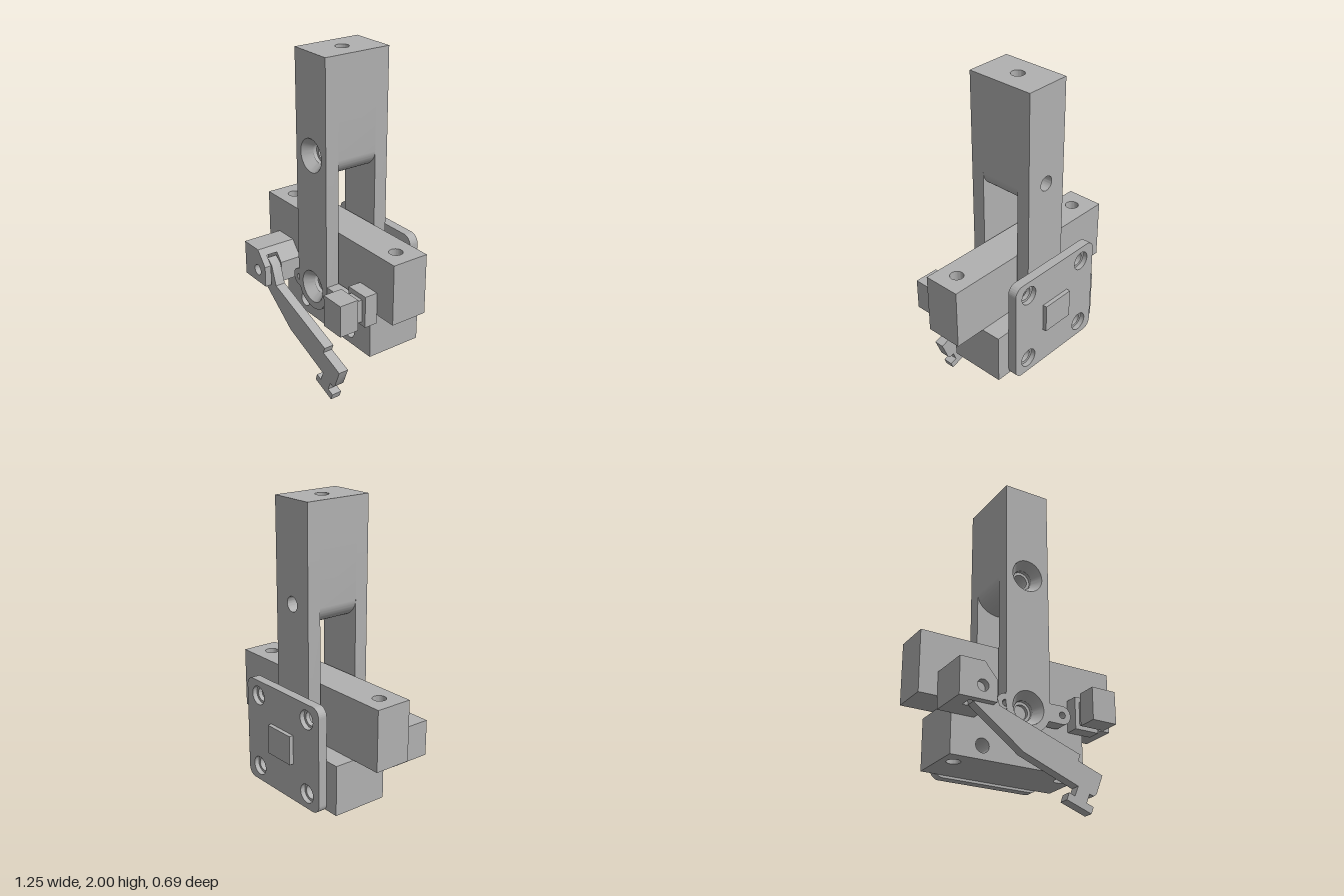
import * as THREE from 'three';
import { toCreasedNormals } from 'three/addons/utils/BufferGeometryUtils.js';

export function createModel() {
  const model = new THREE.Group();
  const grey = new THREE.MeshStandardMaterial({ color: 0xb0b0b0, side: THREE.DoubleSide });

  const add = (name, geometry) => {
    const mesh = new THREE.Mesh(geometry, grey);
    mesh.name = name;
    model.add(mesh);
    return mesh;
  };
  const box = (name, x0, x1, y0, y1, z0, z1) =>
    add(name, new THREE.BoxGeometry(x1 - x0, y1 - y0, z1 - z0)
      .translate((x0 + x1) / 2, (y0 + y1) / 2, (z0 + z1) / 2));
  const poly = (pts) => new THREE.Shape(pts.map(([x, y]) => new THREE.Vector2(x, y)));
  const rect = (x0, x1, y0, y1) => poly([[x0, y0], [x1, y0], [x1, y1], [x0, y1]]);
  const drill = (shape, ...holes) => {
    for (const [x, y, r] of holes) shape.holes.push(new THREE.Path().absarc(x, y, r, 0, Math.PI * 2, true));
    return shape;
  };
  const solid = (shape, depth) => new THREE.ExtrudeGeometry(shape, { depth, bevelEnabled: false, curveSegments: 28 });
  // slab running front to back
  const slabZ = (name, shape, z0, z1) =>
    add(name, toCreasedNormals(solid(shape, z1 - z0).translate(0, 0, z0), 0.6));
  // slab running upwards; the shape's second axis is -z
  const slabY = (name, shape, y0, y1) =>
    add(name, toCreasedNormals(solid(shape, y1 - y0).rotateX(-Math.PI / 2).translate(0, y0, 0), 0.6));

  // Upright column: forked below, with a rounded web between the arms
  const pinY = 0.58, boltY = 1.41, W = 0.143;
  const tongue = (yc, ry) => {
    const s = new THREE.Shape();
    s.moveTo(-W, 1.75);
    s.lineTo(-W, yc);
    s.absellipse(0, yc, W, ry, Math.PI, Math.PI * 2, false);
    s.lineTo(W, 1.75);
    s.closePath();
    return s;
  };
  slabY('columnTop', drill(rect(-W, W, -0.193, 0.235), [0, 0.022, 0.04]), 1.75, 2);
  slabZ('columnWeb', drill(tongue(boltY, 0.12), [0, boltY, 0.045]), -0.15, 0.108);
  slabZ('columnBackArm', drill(tongue(pinY, 0.14), [0, boltY, 0.045]), -0.235, -0.15);
  slabZ('columnFrontArm', drill(tongue(pinY, 0.14), [0, boltY, 0.1], [0, pinY, 0.1]), 0.108, 0.193);

  // Countersunk seats in the front arm
  const seat = [[0.1, 0.193], [0.06, 0.135], [0.06, 0.112], [0.043, 0.112], [0.043, 0.09]];
  for (const y of [boltY, pinY]) {
    const g = new THREE.LatheGeometry(seat.map(([r, h]) => new THREE.Vector2(r, h)), 40);
    add('countersink', toCreasedNormals(g.rotateX(Math.PI / 2).translate(0, y, 0), 0.4));
  }

  // Eared link around the lower pivot
  const link = new THREE.Shape();
  link.absarc(0, pinY, 0.145, 0.38, Math.PI - 0.38, false);
  link.absarc(-0.145, pinY, 0.055, Math.PI / 2, Math.PI * 1.5, false);
  link.absarc(0, pinY, 0.145, Math.PI + 0.38, Math.PI * 2 - 0.38, false);
  link.absarc(0.225, pinY, 0.055, -Math.PI / 2, Math.PI / 2, false);
  slabZ('pivotLink', drill(link, [0, pinY, 0.1], [-0.145, pinY, 0.02], [0.225, pinY, 0.02]), 0.105, 0.19);

  // Cross bar with two blind holes in its top
  box('crossBarBase', -0.623, 0.623, 0.58, 0.7, -0.14, 0.09);
  slabY('crossBarTop', drill(rect(-0.623, 0.623, -0.09, 0.14), [-0.5, 0.022, 0.04], [0.5, 0.022, 0.04]), 0.7, 0.95);

  // Lower block: drilled centre, drilled ends, and a notched rear layer
  slabZ('blockCentre', drill(rect(-0.285, 0.285, 0.27, pinY), [-0.23, 0.35, 0.042], [0.23, 0.35, 0.042]), -0.14, 0.09);
  for (const s of [-1, 1]) {
    const [a, b] = s < 0 ? [-0.425, -0.285] : [0.285, 0.425];
    slabY('blockEnd', drill(rect(a, b, -0.09, 0.14), [s * 0.345, 0.022, 0.04]), 0.27, pinY);
  }
  const notched = new THREE.Shape();
  notched.moveTo(-0.425, 0.27);
  notched.lineTo(0.425, 0.27);
  notched.lineTo(0.425, pinY);
  notched.lineTo(0.187, pinY);
  notched.absarc(0, pinY, 0.187, 0, Math.PI, true);
  notched.lineTo(-0.425, pinY);
  notched.closePath();
  slabZ('blockRear', drill(notched, [-0.23, 0.35, 0.042], [0.23, 0.35, 0.042]), -0.263, -0.14);

  // Rounded back plate with counterbored corner holes and a raised pad
  const plate = (r) => {
    const s = new THREE.Shape(), x = 0.34, y0 = 0.255, y1 = 0.905, c = 0.055;
    s.absarc(x - c, y0 + c, c, -Math.PI / 2, 0, false);
    s.absarc(x - c, y1 - c, c, 0, Math.PI / 2, false);
    s.absarc(-x + c, y1 - c, c, Math.PI / 2, Math.PI, false);
    s.absarc(-x + c, y0 + c, c, Math.PI, Math.PI * 1.5, false);
    return drill(s, ...[-0.23, 0.23].flatMap((hx) => [[hx, 0.35, r], [hx, 0.81, r]]));
  };
  slabZ('backPlateInner', plate(0.042), -0.29, -0.263);
  slabZ('backPlateOuter', plate(0.058), -0.32, -0.29);
  box('backPad', -0.105, 0.105, 0.49, 0.67, -0.346, -0.32);

  // Slotted lever bracket
  const bracket = () => drill(
    poly([[-0.51, 0.5], [-0.285, 0.5], [-0.285, 0.63], [-0.36, 0.72], [-0.51, 0.72]]), [-0.37, pinY, 0.034]);
  slabZ('bracketRear', bracket(), 0.09, 0.228);
  slabZ('bracketFront', bracket(), 0.302, 0.344);
  slabZ('bracketBridge', poly([[-0.51, 0.5], [-0.43, 0.5], [-0.43, 0.63], [-0.33, 0.684], [-0.36, 0.72], [-0.51, 0.72]]), 0.228, 0.302);

  // Swinging lever with a hooked tip
  slabZ('lever', poly([
    [-0.4, 0.5], [-0.095, 0.275], [0.245, 0.143], [0.222, 0.085], [0.185, 0.1], [0.17, 0.058],
    [0.325, 0.002], [0.34, 0.042], [0.297, 0.058], [0.317, 0.11], [0.345, 0.102], [0.363, 0.115],
    [0.407, 0.228], [0.25, 0.286], [0.265, 0.323], [-0.243, 0.508], [-0.285, 0.63], [-0.33, 0.665], [-0.41, 0.62],
  ]), 0.234, 0.296);

  // Grooved catch post
  box('catchRear', 0.327, 0.482, 0.525, 0.72, 0.09, 0.172);
  box('catchNeck', 0.355, 0.452, 0.55, 0.69, 0.172, 0.222);
  box('catchFront', 0.327, 0.482, 0.525, 0.72, 0.222, 0.344);

  return model;
}
